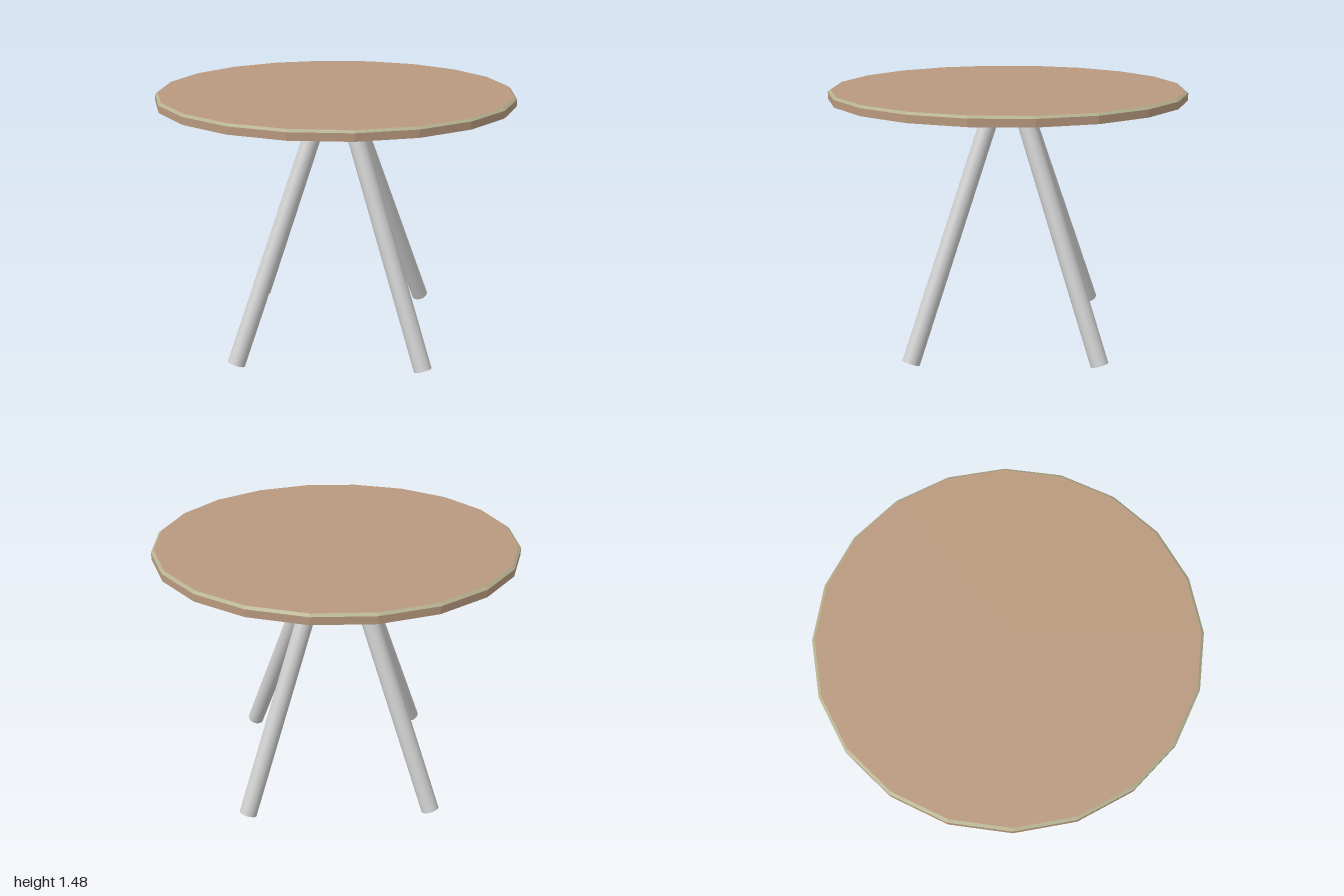
import * as THREE from 'three';

const SIDES = 20;

export function createModel() {
  const table = new THREE.Group();
  table.name = 'roundTable';

  const wood = new THREE.MeshStandardMaterial({ color: 0xb9997f, flatShading: true });
  const trim = new THREE.MeshStandardMaterial({ color: 0xb3b08f, flatShading: true, side: THREE.DoubleSide });
  const grey = new THREE.MeshStandardMaterial({ color: 0xcccccc });

  const add = (name, geometry, material, y) => {
    const mesh = new THREE.Mesh(geometry, material);
    mesh.name = name;
    mesh.position.y = y;
    table.add(mesh);
    return mesh;
  };

  // Tabletop: faceted rim and underside, bevelled trim, flat top face
  const bottom = 1.433, bevel = 1.473, top = 1.485, inner = 0.985;
  const rim = [[0, bottom], [1, bottom], [1, bevel]].map(p => new THREE.Vector2(...p));
  add('tabletopRim', new THREE.LatheGeometry(rim, SIDES), wood, 0);
  add('tabletopBevel', new THREE.CylinderGeometry(inner, 1, top - bevel, SIDES, 1, true), trim, (top + bevel) / 2);
  const face = add('tabletopFace', new THREE.CircleGeometry(inner, SIDES), wood, top);
  face.rotation.x = -Math.PI / 2;

  // Tapered hub that holds the legs
  const hubBottom = 1.36;
  add('hub', new THREE.CylinderGeometry(0.25, 0.17, bottom - hubBottom, SIDES), wood, (bottom + hubBottom) / 2);

  // Four splayed round legs, at front, back, left and right
  const foot = new THREE.Vector3(0.737, 0.021, 0);
  const head = new THREE.Vector3(0.102, 1.4, 0);
  const axis = head.clone().sub(foot);
  for (let i = 0; i < 4; i++) {
    const leg = new THREE.Group();
    leg.name = ['leftLeg', 'backLeg', 'rightLeg', 'frontLeg'][i];
    const tube = new THREE.Mesh(new THREE.CylinderGeometry(0.05, 0.05, axis.length(), 32), grey);
    tube.name = 'legTube';
    tube.position.copy(foot).add(head).multiplyScalar(0.5);
    tube.quaternion.setFromUnitVectors(new THREE.Vector3(0, 1, 0), axis.clone().normalize());
    leg.add(tube);
    leg.rotation.y = i * Math.PI / 2;
    table.add(leg);
  }

  return table;
}
